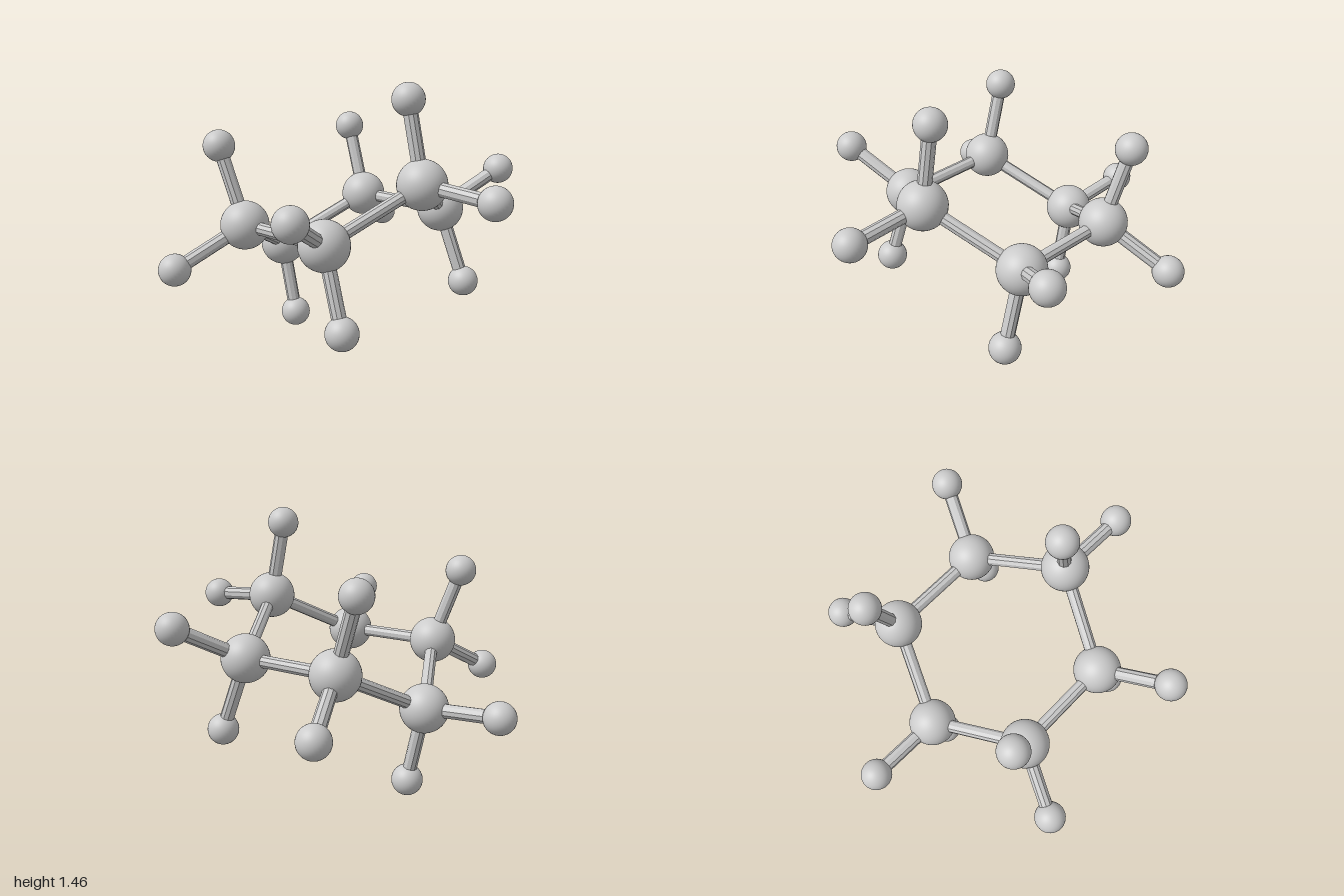
import * as THREE from 'three';

export function createModel() {
  const model = new THREE.Group();
  const material = new THREE.MeshStandardMaterial({ color: 0xcccccc });
  const bondMaterial = new THREE.MeshStandardMaterial({ color: 0xcccccc, flatShading: true });
  const ringBall = new THREE.SphereGeometry(0.127, 40, 28);
  const outerBall = new THREE.SphereGeometry(0.083, 32, 22);
  const up = new THREE.Vector3(0, 1, 0);
  const v = (p) => new THREE.Vector3(...p);

  function ball(name, geometry, position) {
    const mesh = new THREE.Mesh(geometry, material);
    mesh.name = name;
    mesh.position.copy(position);
    model.add(mesh);
  }

  // Straight rod between two ball centres
  function rod(name, a, b, radius) {
    const dir = b.clone().sub(a);
    const geometry = new THREE.CylinderGeometry(radius, radius, dir.length(), 10);
    const mesh = new THREE.Mesh(geometry, bondMaterial);
    mesh.name = name;
    mesh.position.copy(a).add(b).multiplyScalar(0.5);
    mesh.quaternion.setFromUnitVectors(up, dir.normalize());
    model.add(mesh);
  }

  // Front half of the ring: ring atom, its sideways atom, its upright atom
  const half = [
    [[0.467, 0.742, 0.289], [0.801, 0.942, 0.452], [0.504, 0.338, 0.43]],
    [[-0.016, 0.966, 0.505], [-0.024, 0.93, 0.918], [-0.028, 1.377, 0.422]],
    [[-0.475, 0.71, 0.275], [-0.825, 0.896, 0.405], [-0.502, 0.312, 0.41]],
  ].map((site) => site.map(v));

  // Back half is the front half inverted through the centre
  const invert = (p) => new THREE.Vector3(-p.x, 1.464 - p.y, -p.z);
  const sites = [...half, ...half.map((site) => site.map(invert))];

  sites.forEach(([centre, side, upright], i) => {
    ball('ringAtom', ringBall, centre);
    for (const outer of [side, upright]) {
      ball('outerAtom', outerBall, outer);
      rod('outerBond', centre, outer, 0.037);
    }
    rod('ringBond', centre, sites[(i + 1) % sites.length][0], 0.034);
  });

  return model;
}
